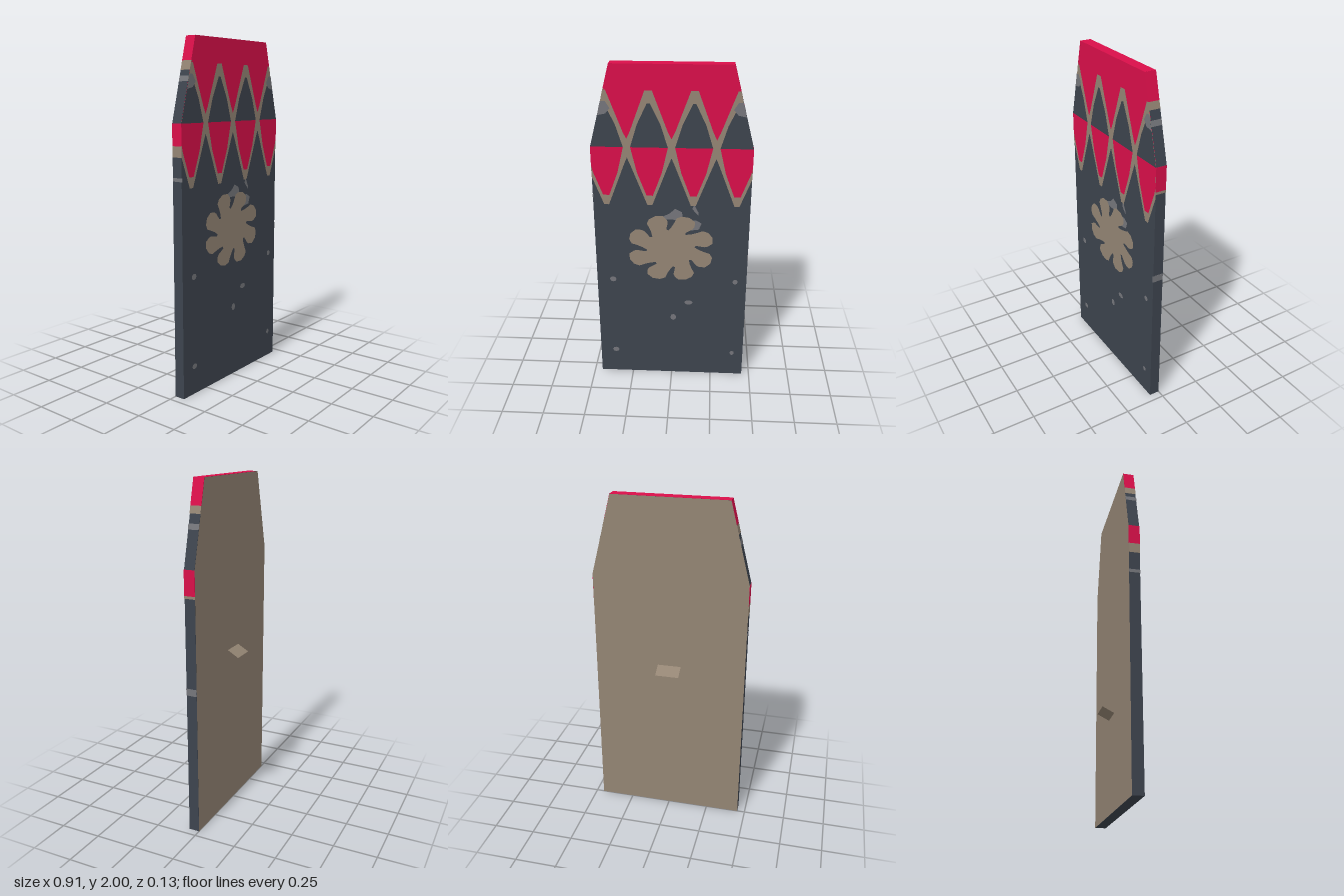
import * as THREE from 'three';

const mat = (name, color) => {
  const m = new THREE.MeshStandardMaterial({ color });
  m.name = name;
  return m;
};

// board outline, counter-clockwise
const W = 0.453, SHOULDER = 1.54, TOPW = 0.333, H = 2, FRONT = 0.062;
const OUTLINE = [[-W, 0], [W, 0], [W, SHOULDER], [TOPW, H], [-TOPW, H], [-W, SHOULDER]];
const edgeX = (y) => (y <= SHOULDER ? W : W - (W - TOPW) * (y - SHOULDER) / (H - SHOULDER));

// cuts a polygon to the convex board outline
function clip(poly) {
  OUTLINE.forEach((a, i) => {
    const b = OUTLINE[(i + 1) % OUTLINE.length];
    const side = (p) => (b[0] - a[0]) * (p[1] - a[1]) - (b[1] - a[1]) * (p[0] - a[0]);
    const out = [];
    poly.forEach((p, j) => {
      const q = poly[(j + 1) % poly.length], sp = side(p), sq = side(q);
      if (sp >= 0) out.push(p);
      if (sp * sq < 0) {
        const t = sp / (sp - sq);
        out.push([p[0] + (q[0] - p[0]) * t, p[1] + (q[1] - p[1]) * t]);
      }
    });
    poly = out;
  });
  return poly;
}

const toShape = (pts) => new THREE.Shape(pts.map(([x, y]) => new THREE.Vector2(x, y)));

export function createModel() {
  const group = new THREE.Group();
  const navy = mat('navy', 0x3d444e);
  const red = mat('crimson', 0xda0f4a);
  const tan = mat('tan', 0x948574);
  const grey = mat('grey', 0x75767b);

  const add = (name, geometry, material) => {
    const mesh = new THREE.Mesh(geometry, material);
    mesh.name = name;
    group.add(mesh);
    return mesh;
  };
  // painted face on the front, layered by small steps
  const paint = (name, pts, material, layer) => {
    add(name, new THREE.ShapeGeometry(toShape(pts)), material).position.z = FRONT + layer * 0.001;
  };

  // board and its plain back
  add('board', new THREE.ExtrudeGeometry(toShape(OUTLINE), { depth: FRONT, bevelEnabled: false }), navy);
  const back = add('backPanel', new THREE.ShapeGeometry(toShape(OUTLINE)), tan);
  back.rotation.y = Math.PI;
  back.position.z = -0.001;

  // red crown and the diamond border
  paint('crown', clip([[-1, SHOULDER], [1, SHOULDER], [1, H], [-1, H]]), red, 1);
  for (const c of [-0.375, -0.125, 0.125, 0.375]) {
    const at = (pts) => clip(pts.map(([x, y]) => [c + x, y]));
    paint('diamondBorder', at([[-0.014, 1.19], [0.014, 1.19], [0.105, 1.43], [0.138, 1.51], [0.138, 1.56],
      [0.105, 1.63], [0.02, 1.86], [-0.02, 1.86], [-0.105, 1.63], [-0.138, 1.56], [-0.138, 1.51], [-0.105, 1.43]]), tan, 2);
    paint('upperTriangle', at([[-0.105, SHOULDER], [0.105, SHOULDER], [0.065, 1.67], [0.008, 1.79],
      [-0.008, 1.79], [-0.065, 1.67]]), navy, 3);
    paint('lowerTriangle', at([[-0.018, 1.25], [0.018, 1.25], [0.07, 1.39], [0.105, SHOULDER],
      [-0.105, SHOULDER], [-0.07, 1.39]]), red, 3);
  }

  // pinwheel emblem with curved slots
  const wheel = [];
  const BLADES = 8;
  for (let i = 0; i < BLADES; i++) {
    const a = (i / BLADES) * Math.PI * 2 + 0.1;
    const rim = [[0.22, 0], [0.25, 0.08], [0.262, 0.25], [0.255, 0.42], [0.235, 0.54], [0.2, 0.58],
      [0.165, 0.66], [0.14, 0.79], [0.15, 0.86], [0.175, 0.81], [0.2, 0.77]];
    for (const [r, d] of rim) wheel.push([-0.005 + r * Math.cos(a + d), 0.91 + 0.86 * r * Math.sin(a + d)]);
  }
  paint('pinwheel', wheel, tan, 2);

  // worn patches and specks
  paint('wornPatch', [[-0.09, 1.1], [0.02, 1.1], [0.07, 1.06], [0.1, 1.03], [0.16, 1.04], [0.175, 1.08],
    [0.14, 1.1], [0.07, 1.09], [0.06, 1.15], [0.02, 1.17], [-0.01, 1.14]], grey, 1);
  paint('wornPatch', [[0.12, 1.17], [0.155, 1.13], [0.155, 1.15], [0.13, 1.2]], grey, 1);
  for (const s of [-1, 1]) {
    const pts = [[0.335, 1.76], [0.36, 1.73], [0.45, 1.71], [0.45, 1.8], [0.36, 1.8]].map(([x, y]) => [x * s, y]);
    paint('shoulderWear', clip(s > 0 ? pts : pts.reverse()), grey, 4);
  }
  const specks = [[-0.357, 0.69, 0.02, 0.018], [0.385, 0.69, 0.016, 0.017], [0.104, 0.535, 0.026, 0.016],
    [0.01, 0.425, 0.018, 0.022], [-0.357, 0.165, 0.021, 0.017], [0.385, 0.163, 0.014, 0.016]];
  for (const [x, y, rx, ry] of specks) {
    const speck = add('speck', new THREE.CircleGeometry(1, 8), grey);
    speck.scale.set(rx, ry, 1);
    speck.position.set(x, y, FRONT + 0.001);
  }

  // painted bands wrapping over the edges
  const band = (name, pts, material) => add(name,
    new THREE.ExtrudeGeometry(toShape(pts), { depth: FRONT + 0.002, bevelEnabled: false }), material);
  const bands = {
    '1': [[1.86, 2, red], [1.82, 1.86, tan], [1.74, 1.77, grey], [1.4, 1.54, red], [1.385, 1.4, tan], [0.84, 0.88, grey]],
    '-1': [[1.87, 2, red], [1.82, 1.87, tan], [1.76, 1.79, grey], [1.42, 1.54, red], [1.36, 1.42, tan], [1.23, 1.25, grey]],
  };
  for (const s of [1, -1]) {
    for (const [y0, y1, material] of bands[s]) {
      const x0 = edgeX(y0), x1 = edgeX(y1);
      band('edgeBand', [[s * (x0 - 0.004), y0], [s * (x0 + 0.001), y0], [s * (x1 + 0.001), y1], [s * (x1 - 0.004), y1]], material);
    }
  }
  band('topEdge', [[-TOPW, 1.996], [TOPW, 1.996], [TOPW, 2.001], [-TOPW, 2.001]], red);

  // rear handle: tapered block with open sides
  const profile = [[1.0, 0], [0.96, -0.068], [0.575, -0.068], [0.54, 0]];
  const pos = [], index = [];
  profile.forEach(([y, z]) => pos.push(-0.07, y, z, 0.07, y, z));
  for (let i = 0; i < 3; i++) {
    const k = i * 2;
    index.push(k, k + 1, k + 2, k + 1, k + 3, k + 2);
  }
  let handle = new THREE.BufferGeometry();
  handle.setAttribute('position', new THREE.Float32BufferAttribute(pos, 3));
  handle.setIndex(index);
  handle = handle.toNonIndexed();
  handle.computeVertexNormals();
  add('rearHandle', handle, tan);

  return group;
}
